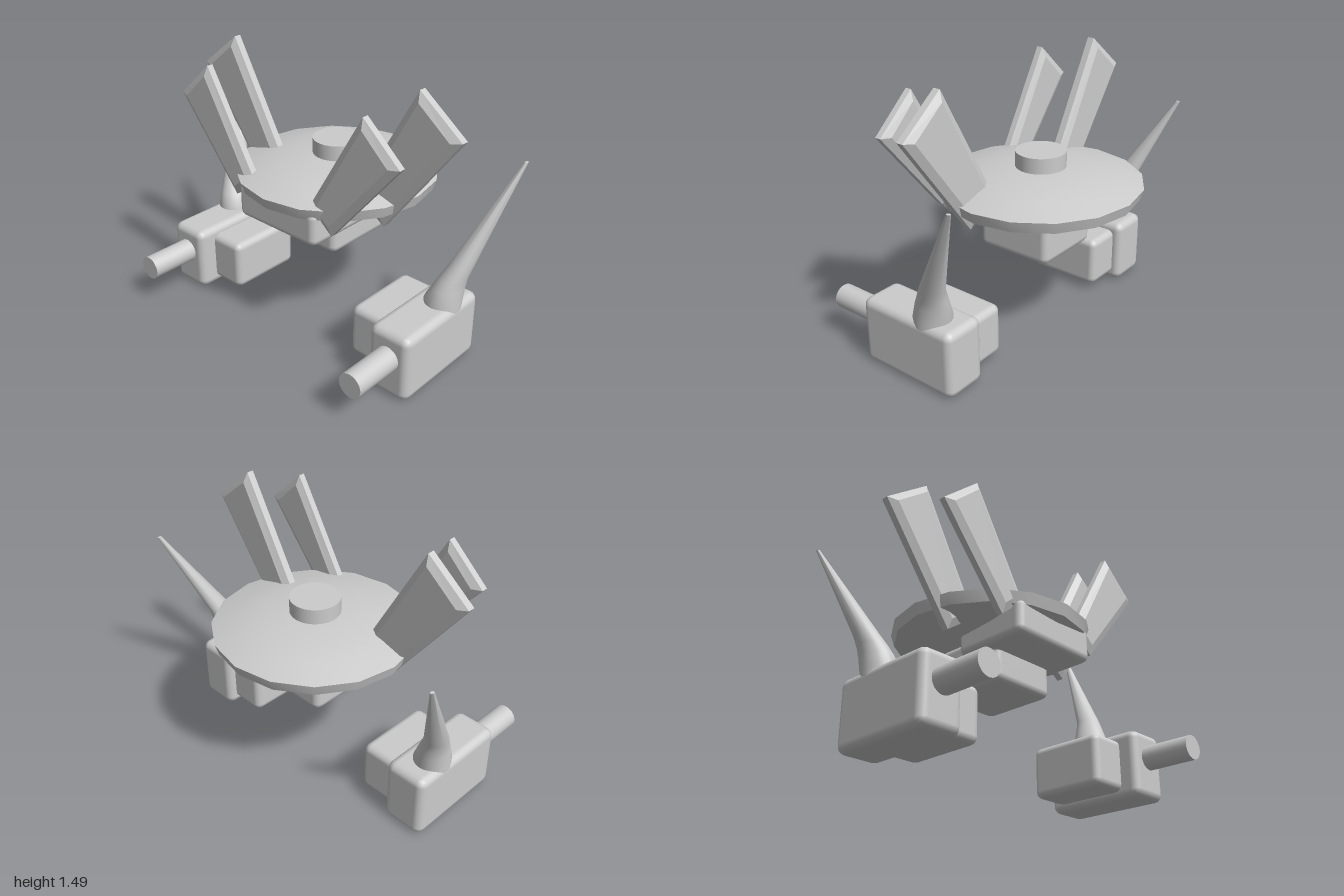
import * as THREE from 'three';
import { toCreasedNormals } from 'three/addons/utils/BufferGeometryUtils.js';
import { RoundedBoxGeometry } from 'three/addons/geometries/RoundedBoxGeometry.js';

const grey = new THREE.MeshStandardMaterial({ color: 0xcccccc });
grey.name = 'light grey';

export function createModel() {
  const model = new THREE.Group();

  const add = (name, geometry, x = 0, y = 0, z = 0) => {
    const mesh = new THREE.Mesh(geometry, grey);
    mesh.name = name;
    mesh.position.set(x, y, z);
    model.add(mesh);
    return mesh;
  };

  // Rounded box given by its limits on each axis
  const box = (name, [x0, x1], [y0, y1], [z0, z1], r) =>
    add(name, new RoundedBoxGeometry(x1 - x0, y1 - y0, z1 - z0, 2, r),
      (x0 + x1) / 2, (y0 + y1) / 2, (z0 + z1) / 2);

  // Saucer: sixteen-sided lens with a thin slanted rim
  const profile = [[0, 0.74], [0.27, 0.75], [0.42, 0.772], [0.535, 0.803], [0.555, 0.865],
    [0.42, 0.905], [0.3, 0.93], [0.15, 0.945], [0, 0.948]];
  const saucer = new THREE.LatheGeometry(profile.map(p => new THREE.Vector2(...p)), 16);
  add('saucer', toCreasedNormals(saucer, 0.6), 0, 0, -0.1);
  add('topHatch', new THREE.CylinderGeometry(0.136, 0.136, 0.13, 32), 0, 0.965, -0.105);

  // Hull blocks under the saucer
  box('frontHull', [-0.275, 0.275], [0.645, 0.84], [-0.07, 0.38], 0.04);
  box('lowerHull', [-0.205, 0.205], [0.48, 0.76], [-0.295, 0.15], 0.04);

  // Tapered panel with bevelled edges, standing in the xy plane
  const panel = (name, side, corners, z, thickness) => {
    const shape = new THREE.Shape(corners.map(([x, y]) => new THREE.Vector2(side * x, y)));
    const bevel = thickness * 0.27;
    const depth = thickness - 2 * bevel;
    const geometry = new THREE.ExtrudeGeometry(shape, {
      depth, bevelThickness: bevel, bevelSize: 0.04, bevelOffset: -0.04, bevelSegments: 1,
    });
    add(name, geometry, 0, 0, z - depth / 2);
  };

  // Horn: a cylinder whose rows follow a leaning, narrowing path
  // Rows from tip to base: centre x, y, z, then radius in x and in z
  const rows = [
    [0.988, 1.1, -0.367, 0.009, 0.012],
    [0.84, 0.575, -0.097, 0.061, 0.069],
    [0.818, 0.515, -0.075, 0.068, 0.083],
    [0.802, 0.46, -0.058, 0.078, 0.096],
    [0.785, 0.385, -0.04, 0.096, 0.105],
    [0.783, 0.34, -0.037, 0.097, 0.1],
  ];
  const hornGeometry = side => {
    const last = rows.length - 1;
    const geometry = new THREE.CylinderGeometry(1, 1, 1, 24, last);
    const p = geometry.attributes.position;
    for (let i = 0; i < p.count; i++) {
      const [cx, cy, cz, rx, rz] = rows[Math.round((0.5 - p.getY(i)) * last)];
      p.setXYZ(i, side * cx + p.getX(i) * rx, cy, cz + p.getZ(i) * rz);
    }
    return toCreasedNormals(geometry, 0.8);
  };

  for (const side of [1, -1]) {
    const label = side > 0 ? 'left' : 'right';
    const span = (a, b) => (side > 0 ? [a, b] : [-b, -a]);

    // Raised panels
    panel(label + 'RearPanel', side,
      [[0.628, 1.488], [0.88, 1.292], [0.446, 0.705], [0.265, 0.835]], 0.021, 0.085);
    panel(label + 'FrontPanel', side,
      [[0.53, 1.412], [0.75, 1.215], [0.345, 0.728], [0.2, 0.85]], 0.308, 0.076);

    // Side pod, inner pod, barrel and horn
    box(label + 'Pod', span(0.635, 0.88), [0, 0.375], [-0.23, 0.375], 0.045);
    box(label + 'InnerPod', span(0.43, 0.68), [0.04, 0.33], [-0.18, 0.27], 0.04);
    const barrel = new THREE.CylinderGeometry(0.067, 0.067, 0.33, 24);
    add(label + 'Barrel', barrel, side * 0.76, 0.228, 0.49).rotation.x = Math.PI / 2;
    add(label + 'Horn', hornGeometry(side));
  }

  return model;
}
